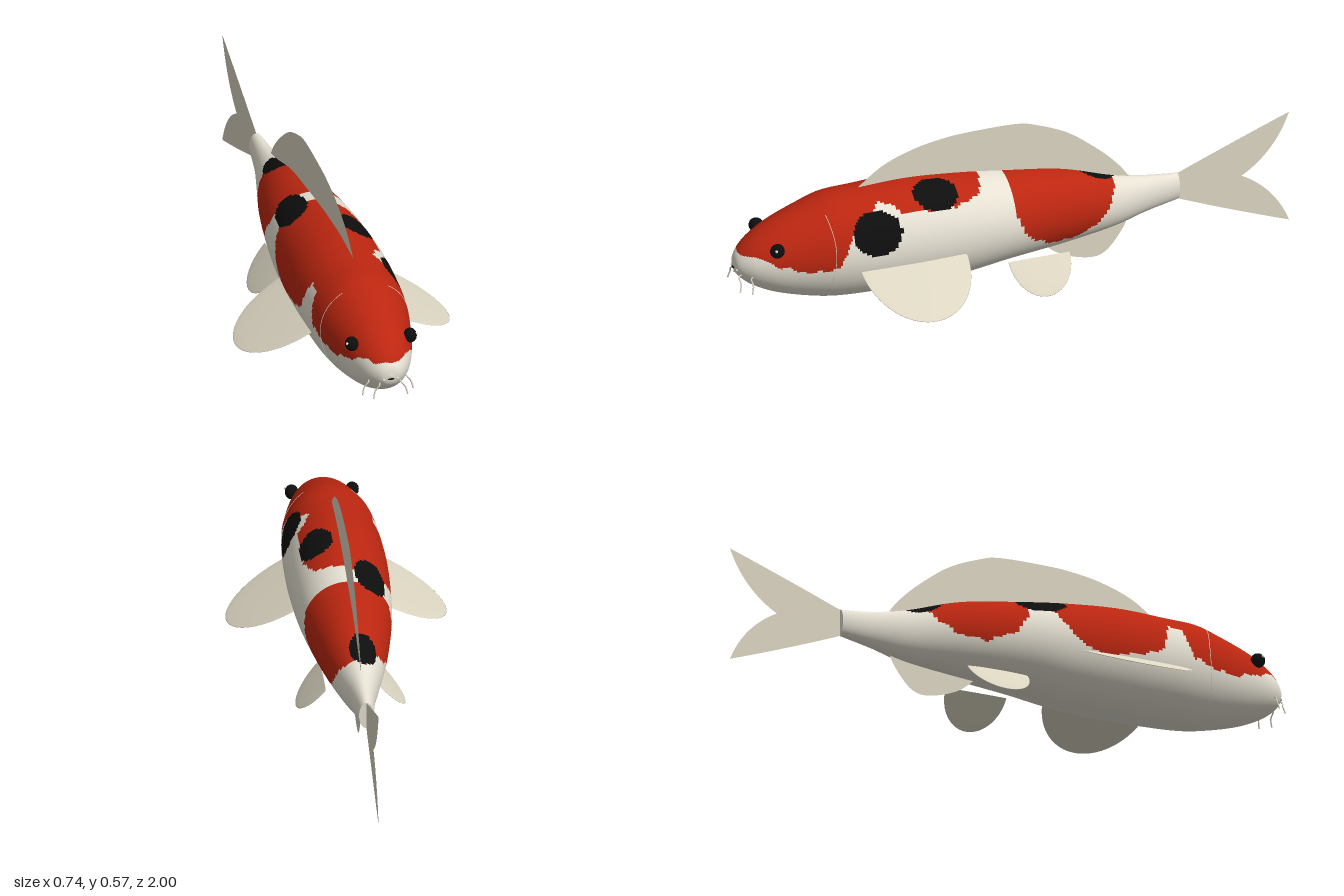
import * as THREE from 'three';

const mat = (name, color, side = THREE.FrontSide) => {
  const m = new THREE.MeshStandardMaterial({ color, side });
  m.name = name;
  return m;
};

// Body stations from nose to tail: z, half width, top, bottom
const STATIONS = [
  [0.995, 0, 0.235, 0.235], [0.985, 0.035, 0.272, 0.2], [0.95, 0.07, 0.312, 0.165],
  [0.9, 0.097, 0.347, 0.135], [0.84, 0.118, 0.377, 0.11], [0.75, 0.141, 0.41, 0.085],
  [0.66, 0.158, 0.437, 0.068], [0.55, 0.168, 0.441, 0.062], [0.38, 0.172, 0.446, 0.06],
  [0.2, 0.165, 0.432, 0.068], [0.03, 0.15, 0.409, 0.09], [-0.18, 0.115, 0.375, 0.108],
  [-0.36, 0.07, 0.318, 0.13], [-0.48, 0.042, 0.292, 0.16], [-0.6, 0.025, 0.28, 0.185],
];
const spline = (k) => new THREE.CatmullRomCurve3(
  STATIONS.map((s) => new THREE.Vector3(s[1], s[k], s[0])), false, 'catmullrom', 0.5);
const topLine = spline(2), bottomLine = spline(3);

// Point on the skin: t runs nose to tail, angle a from the back towards +x
function skin(t, a) {
  const p = topLine.getPoint(t), q = bottomLine.getPoint(t);
  return new THREE.Vector3(Math.max(p.x, 0) * Math.sin(a),
    (p.y + q.y) / 2 + (p.y - q.y) / 2 * Math.cos(a), p.z);
}

// Lower edge of the front red patch as (z, y), for each flank
const HEAD_EDGE = [[1, 0.282], [0.93, 0.28], [0.86, 0.25], [0.75, 0.22], [0.67, 0.235]];
const LEFT_EDGE = [...HEAD_EDGE, [0.64, 0.285], [0.61, 0.36], [0.55, 0.39], [0.5, 0.425],
  [0.46, 0.4], [0.4, 0.38], [0.2, 0.375], [0.14, 0.4], [0.12, 0.43]];
const RIGHT_EDGE = [...HEAD_EDGE, [0.62, 0.25], [0.58, 0.35], [0.53, 0.36], [0.5, 0.25],
  [0.3, 0.2], [0.2, 0.24], [0.13, 0.33], [0.1, 0.43]];
function edgeAt(table, z) {
  for (let i = 1; i < table.length; i++) {
    const [z0, y0] = table[i - 1], [z1, y1] = table[i];
    if (z >= z1) return y0 + (y1 - y0) * (z0 - z) / (z0 - z1);
  }
  return Infinity;
}

// Black spots: centre and radii
const SPOTS = [
  [0.15, 0.335, 0.53, 0.09, 0.076, 0.085], [0.08, 0.41, 0.3, 0.065, 0.07, 0.08],
  [-0.085, 0.385, 0.09, 0.062, 0.07, 0.092], [-0.02, 0.335, -0.31, 0.05, 0.07, 0.07],
];

// 0 white, 1 red, 2 black
function patch({ x, y, z }) {
  if (SPOTS.some(([a, b, c, ra, rb, rc]) =>
    ((x - a) / ra) ** 2 + ((y - b) / rb) ** 2 + ((z - c) / rc) ** 2 < 1)) return 2;
  const wobble = 0.004 * Math.sin(z * 70) + 0.003 * Math.sin(z * 131 + x * 40);
  if (y > edgeAt(x > 0 ? LEFT_EDGE : RIGHT_EDGE, z) + wobble) return 1;
  const [cz, rz, ry] = x > -0.02 ? [-0.165, 0.2, 0.2] : [-0.14, 0.175, 0.15];
  const dy = Math.min(0, (y - 0.355 - wobble) / ry);
  return ((z - cz) / rz) ** 2 + dy * dy < 1 ? 1 : 0;
}

function bodyGeometry(rows, cols) {
  const pos = [], lists = [[], [], []];
  for (let i = 0; i <= rows; i++)
    for (let j = 0; j < cols; j++) pos.push(...skin(i / rows, j / cols * Math.PI * 2).toArray());
  for (let i = 0; i < rows; i++) for (let j = 0; j < cols; j++) {
    const k = (j + 1) % cols;
    const a = i * cols + j, b = i * cols + k, c = a + cols, d = b + cols;
    const colour = patch(skin((i + 0.5) / rows, (j + 0.5) / cols * Math.PI * 2));
    lists[colour].push(a, b, c, b, d, c);
  }
  const g = new THREE.BufferGeometry();
  g.setAttribute('position', new THREE.Float32BufferAttribute(pos, 3));
  g.setIndex(lists.flat());
  let start = 0;
  lists.forEach((l, n) => { g.addGroup(start, l.length, n); start += l.length; });
  g.computeVertexNormals();
  return g;
}

// Flat fin in the x = 0 plane, drawn in (z, y)
function finGeometry(draw) {
  const s = new THREE.Shape();
  draw(s);
  return new THREE.ShapeGeometry(s, 16).rotateY(-Math.PI / 2);
}
const pts = (list) => list.map(([z, y]) => new THREE.Vector2(z, y));

export function createModel() {
  const group = new THREE.Group();
  const white = mat('bodyWhite', 0xe6e1d3);
  const red = mat('patchRed', 0xbc2610);
  const black = mat('inkBlack', 0x0e0e0e);
  const cream = mat('finCream', 0xdcd6c2, THREE.DoubleSide);
  const add = (name, geo, m, parent = group) => {
    const mesh = new THREE.Mesh(geo, m);
    mesh.name = name;
    parent.add(mesh);
    return mesh;
  };

  add('body', bodyGeometry(210, 128), [white, red, black]);

  // Flat end of the tail stalk
  const cap = add('tailStalkEnd', new THREE.CircleGeometry(1, 32), white);
  cap.scale.set(0.025, 0.0475, 1);
  cap.rotation.y = Math.PI;
  cap.position.set(0, 0.2325, -0.6);

  // Fins on the centre line
  add('dorsalFin', finGeometry((s) => {
    s.moveTo(0.56, 0.43);
    s.splineThru(pts([[0.46, 0.505], [0.35, 0.548], [0.25, 0.568], [0.15, 0.576], [-0.02, 0.575],
      [-0.1, 0.555], [-0.21, 0.505], [-0.32, 0.42], [-0.39, 0.35], [-0.43, 0.295]]));
    s.lineTo(-0.36, 0.27);
    s.lineTo(0, 0.36);
    s.lineTo(0.4, 0.4);
  }), cream);
  add('analFin', finGeometry((s) => {
    s.moveTo(-0.1, 0.12);
    s.splineThru(pts([[-0.16, 0.065], [-0.23, 0.032], [-0.3, 0.019], [-0.345, 0.035],
      [-0.385, 0.08], [-0.415, 0.13], [-0.425, 0.17]]));
    s.lineTo(-0.2, 0.18);
  }), cream);
  add('tailFin', finGeometry((s) => {
    s.moveTo(-0.58, 0.278);
    s.lineTo(-0.6, 0.28);
    s.quadraticCurveTo(-0.8, 0.362, -1, 0.437);
    s.quadraticCurveTo(-0.95, 0.295, -0.83, 0.226);
    s.quadraticCurveTo(-0.95, 0.16, -1, 0.028);
    s.quadraticCurveTo(-0.8, 0.1, -0.6, 0.184);
    s.lineTo(-0.58, 0.184);
  }), cream);

  // Paired parts
  for (const side of [1, -1]) {
    const label = side > 0 ? 'left' : 'right';

    // Lens-shaped fins, root centre to tip
    for (const [name, x, y, z, tx, ty, rz] of [
      ['PectoralFin', 0.155, 0.21, 0.405, 0.372, 0.09, 0.19],
      ['PelvicFin', 0.095, 0.108, -0.068, 0.185, 0.004, 0.11]]) {
      const fin = add(label + name,
        new THREE.SphereGeometry(1, 40, 24, side > 0 ? Math.PI / 2 : -Math.PI / 2, Math.PI), cream);
      fin.scale.set(Math.hypot(tx - x, ty - y), 0.005, rz);
      fin.rotation.z = side * Math.atan2(ty - y, tx - x);
      fin.position.set(side * x, y, z);
    }

    const eye = add(label + 'Eye', new THREE.SphereGeometry(0.025, 24, 16), black);
    eye.position.set(side * 0.102, 0.311, 0.873);
    eye.scale.x = 0.9;
    const glint = add(label + 'EyeGlint', new THREE.SphereGeometry(0.005, 10, 8), white);
    glint.position.set(side * 0.121, 0.32, 0.883);

    // Barbels beside the mouth
    for (const [x, z] of [[0.063, 0.945], [0.034, 0.978]]) {
      const curve = new THREE.CatmullRomCurve3([[0, 0.21, -0.012], [0.004, 0.203, 0.008],
        [0.018, 0.183, 0.006], [0.026, 0.155, 0.012]]
        .map(([dx, y, dz]) => new THREE.Vector3(side * (x + dx), y, z + dz)));
      add(label + 'Barbel', new THREE.TubeGeometry(curve, 16, 0.0025, 8), cream);
    }

    const nostril = add(label + 'Nostril', new THREE.SphereGeometry(0.005, 10, 8), white);
    nostril.position.set(side * 0.024, 0.222, 0.988);

    // Gill cover seam
    const seam = Array.from({ length: 14 }, (_, i) =>
      skin((5.72 + 0.08 * Math.cos(i / 13 * 5 - 2.5)) / 14, side * (0.55 + i / 13 * 1.6)));
    add(label + 'GillSeam',
      new THREE.TubeGeometry(new THREE.CatmullRomCurve3(seam), 40, 0.0012, 6), white);
  }

  const mouth = add('mouth', new THREE.SphereGeometry(1, 16, 10), black);
  mouth.scale.set(0.011, 0.003, 0.004);
  mouth.position.set(0, 0.225, 0.994);

  return group;
}
